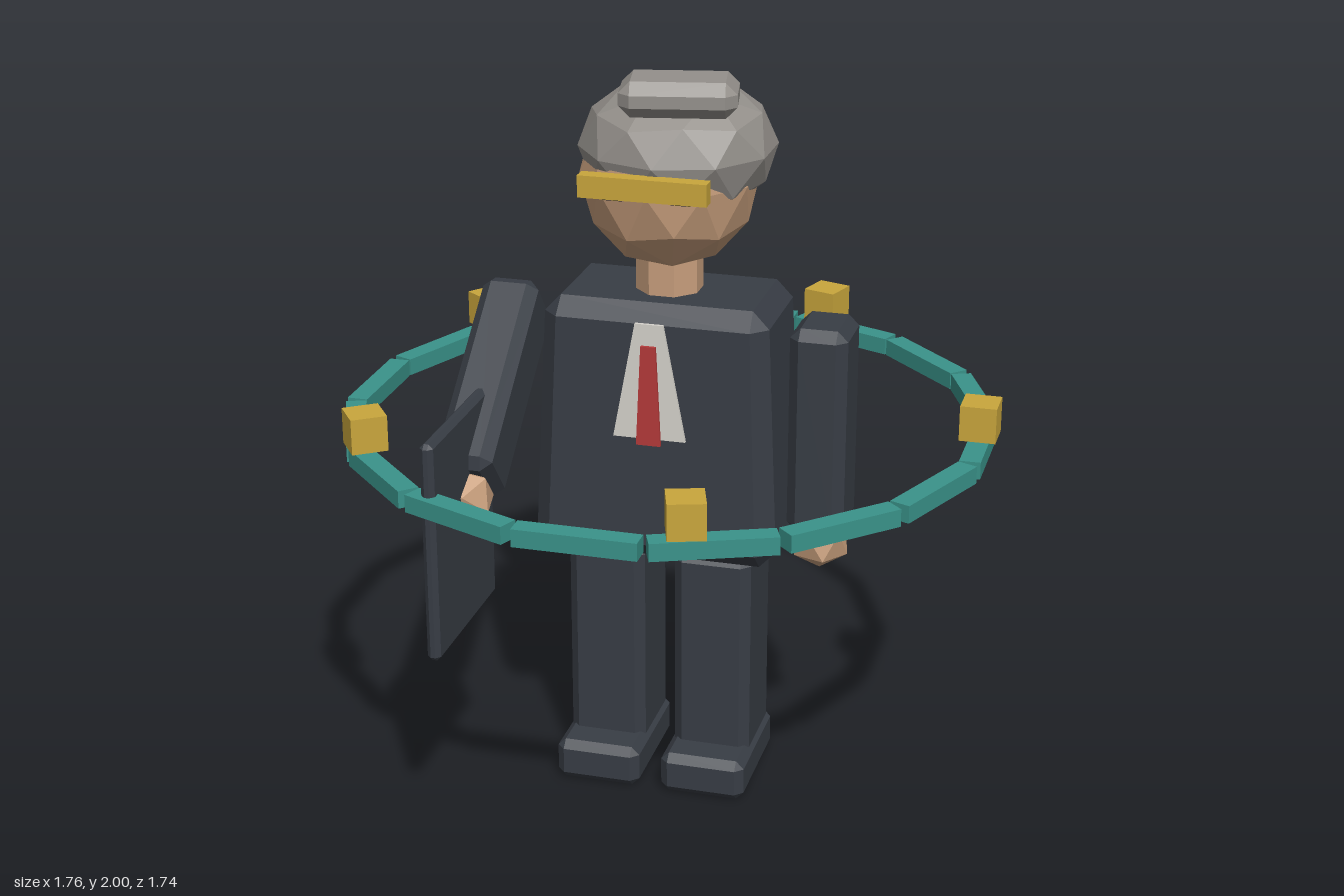
import * as THREE from 'three';
import { ConvexGeometry } from 'three/addons/geometries/ConvexGeometry.js';

const CX = -0.013; // body and ring centre line

function mat(name, color) {
  const m = new THREE.MeshStandardMaterial({ color, flatShading: true });
  m.name = name;
  return m;
}

// Box with all edges chamfered by c; the top is scaled by taper
function chamferBox(w, h, d, c, taper = 1) {
  const pts = [];
  for (const sx of [-1, 1]) for (const sy of [-1, 1]) for (const sz of [-1, 1]) {
    for (const [a, b, e] of [[0, c, c], [c, 0, c], [c, c, 0]]) {
      const y = sy * (h / 2 - b);
      const k = 1 + (taper - 1) * (y / h + 0.5);
      pts.push(new THREE.Vector3(sx * (w / 2 - a) * k, y, sz * (d / 2 - e) * k));
    }
  }
  return new ConvexGeometry(pts);
}

// Faceted ball standing on a vertex
function ball(rx, ry, rz, detail) {
  return new THREE.IcosahedronGeometry(1, detail).rotateZ(0.5536).scale(rx, ry, rz);
}

export function createModel() {
  const model = new THREE.Group();
  model.name = 'figure';
  const suit = mat('suit', 0x383d45);
  const skin = mat('skin', 0xc79e7c);
  const hairGrey = mat('hair grey', 0x94908b);
  const gold = mat('gold', 0xc9a63c);
  const teal = mat('teal', 0x3a938a);
  const white = mat('shirt white', 0xd6d3cc);
  const red = mat('tie red', 0xb53a3a);
  const black = mat('eye black', 0x1c1c1f);

  const add = (name, geo, material, x, y, z, parent = model) => {
    const m = new THREE.Mesh(geo, material);
    m.name = name;
    m.position.set(x, y, z);
    parent.add(m);
    return m;
  };

  // Torso
  add('torso', chamferBox(0.67, 0.715, 0.395, 0.047, 0.9), suit, CX, 1.0425, 0);

  // Legs and shoes
  for (const [side, s] of [['right', -1], ['left', 1]]) {
    const x = CX + s * 0.149;
    add(side + 'Leg', chamferBox(0.213, 0.66, 0.255, 0.025), suit, x, 0.355, 0);
    add(side + 'Shoe', chamferBox(0.235, 0.117, 0.36, 0.022), suit, x, 0.0585, 0.049);
  }

  // Arms with hands: one hangs, one reaches forward
  const arm = (name, x, y, z, bend) => {
    const g = new THREE.Group();
    g.name = name;
    g.position.set(x, y, z);
    g.rotation.x = bend;
    add('sleeve', chamferBox(0.155, 0.578, 0.197, 0.028), suit, 0, 0, 0, g);
    add('hand', ball(0.085, 0.085, 0.085, 0), skin, 0, -0.333, 0, g);
    model.add(g);
  };
  arm('leftArm', 0.408, 1.053, 0, 0);
  arm('rightArm', -0.433, 1.16, 0.226, -THREE.MathUtils.degToRad(50));

  // Folder held in the right hand, with a panel on its outer side
  add('folder', chamferBox(0.036, 0.594, 0.439, 0.012), suit, -0.431, 0.897, 0.527);
  add('folderPanel', new THREE.BoxGeometry(0.008, 0.48, 0.36), teal, -0.45, 0.897, 0.527);

  // Shirt front and tie
  const plate = (name, points, depth, material, z) => {
    const shape = new THREE.Shape(points.map(([x, y]) => new THREE.Vector2(x, y)));
    return add(name, new THREE.ExtrudeGeometry(shape, { depth, bevelEnabled: false }), material, CX, 0, z);
  };
  plate('shirtFront', [[-0.098, 1.045], [0.098, 1.045], [0.038, 1.363], [-0.038, 1.363]], 0.009, white, 0.198);
  plate('tie', [[-0.033, 1.03], [0.033, 1.03], [0.02, 1.305], [-0.02, 1.305]], 0.009, red, 0.208);

  // Neck and head
  add('neck', new THREE.CylinderGeometry(0.09, 0.09, 0.16, 8).rotateY(Math.PI / 8), skin, CX, 1.43, 0);
  add('head', ball(0.237, 0.25, 0.235, 1), skin, CX, 1.71, 0);

  // Hair cap and top bun
  add('hair', ball(0.262, 0.185, 0.262, 1), hairGrey, 0.004, 1.785, -0.022);
  const bun = add('bun', chamferBox(0.3, 0.092, 0.185, 0.03), hairGrey, 0.045, 1.954, 0.12);
  bun.rotation.y = 0.2;

  // Eyes and visor bar
  for (const s of [-1, 1]) {
    add('eye', new THREE.BoxGeometry(0.052, 0.035, 0.009), black, CX + s * 0.09, 1.712, 0.222);
  }
  add('visor', new THREE.BoxGeometry(0.337, 0.058, 0.042), gold, CX, 1.738, 0.248);

  // Ring of straight segments around the body
  const R = 0.84;
  const ring = new THREE.Group();
  ring.name = 'ring';
  ring.position.set(CX, 0, 0);
  model.add(ring);
  for (let i = 0; i < 16; i++) {
    const a = (i / 16) * Math.PI * 2;
    const seg = add('ringSegment', new THREE.BoxGeometry(0.056, 0.047, 0.317), teal, R * Math.cos(a), 1.031, -R * Math.sin(a), ring);
    seg.rotation.y = a;
  }

  // Cubes floating over the ring
  for (let i = 0; i < 5; i++) {
    const a = (i / 5) * Math.PI * 2;
    const cube = add('ringCube', new THREE.BoxGeometry(0.096, 0.096, 0.096), gold, R * Math.cos(a), 1.112, -R * Math.sin(a), ring);
    cube.rotation.y = a;
  }
  return model;
}
